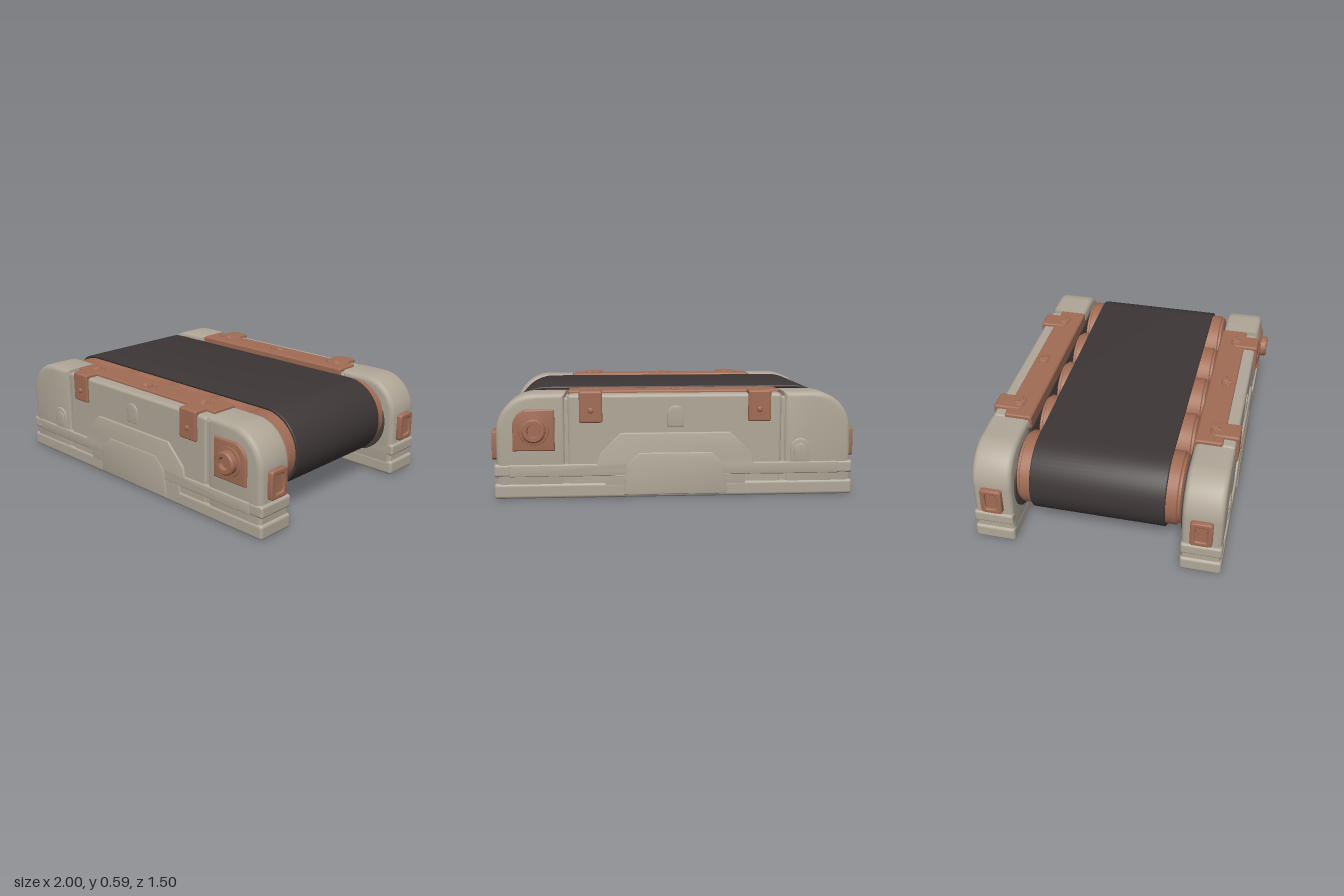
import * as THREE from 'three';
import { toCreasedNormals } from 'three/addons/utils/BufferGeometryUtils.js';
import { RoundedBoxGeometry } from 'three/addons/geometries/RoundedBoxGeometry.js';

const mat = (name, color, side = THREE.FrontSide) => {
  const m = new THREE.MeshStandardMaterial({ color, side });
  m.name = name;
  return m;
};

export function createModel() {
  const stone = mat('warm grey casing', 0xb0a798);
  const copper = mat('copper', 0xa16c55);
  const rubber = mat('belt rubber', 0x3d3636);
  const dark = mat('dark inner metal', 0x48403e);

  const model = new THREE.Group();
  model.name = 'conveyor';

  const add = (parent, name, geo, material, x = 0, y = 0, z = 0) => {
    const mesh = new THREE.Mesh(geo, material);
    mesh.name = name;
    mesh.position.set(x, y, z);
    parent.add(mesh);
    return mesh;
  };
  const box = (w, h, d, r = 0.01) => new RoundedBoxGeometry(w, h, d, 2, r);
  // Extrude a shape from z0 to z1 with a rounded edge that stays inside the outline
  const slab = (shape, z0, z1, b = 0.008) => {
    const geo = new THREE.ExtrudeGeometry(shape, {
      depth: z1 - z0 - 2 * b, bevelEnabled: true, bevelThickness: b, bevelSize: b,
      bevelOffset: -b, bevelSegments: 3, curveSegments: 14,
    });
    geo.translate(0, 0, z0 + b);
    return toCreasedNormals(geo, 0.6);
  };
  // Polygon symmetric in x, given by its right half from bottom to top
  const mirrored = (half) => new THREE.Shape([
    ...half.map(([x, y]) => new THREE.Vector2(x, y)),
    ...half.slice().reverse().map(([x, y]) => new THREE.Vector2(-x, y)),
  ]);
  const arch = (w, y0, y1) => {
    const s = new THREE.Shape();
    s.moveTo(-w, y0);
    s.lineTo(w, y0);
    s.lineTo(w, y1 - w);
    s.absarc(0, y1 - w, w, 0, Math.PI, false);
    return s;
  };
  const stadium = (target, half, cy, r) => {
    target.absarc(half, cy, r, -Math.PI / 2, Math.PI / 2, false);
    target.absarc(-half, cy, r, Math.PI / 2, Math.PI * 1.5, false);
    target.closePath();
    return target;
  };

  // Belt loop
  const loop = stadium(new THREE.Shape(), 0.718, 0.355, 0.225);
  loop.holes.push(stadium(new THREE.Path(), 0.718, 0.355, 0.207));
  add(model, 'belt', slab(loop, -0.375, 0.375, 0.007), rubber);

  // Rollers: two large at the ends, three smaller between
  const roller = (x, y, r) => {
    const profile = [[0, -0.458], [r - 0.03, -0.458], [r - 0.012, -0.45], [r - 0.012, -0.438],
      [r, -0.432], [r, 0.432], [r - 0.012, 0.438], [r - 0.012, 0.45], [r - 0.03, 0.458], [0, 0.458]]
      .map(([a, b]) => new THREE.Vector2(a, b));
    const geo = toCreasedNormals(new THREE.LatheGeometry(profile, 40), 0.5);
    add(model, 'roller', geo.rotateX(Math.PI / 2), copper, x, y);
    const axle = new THREE.CylinderGeometry(0.05, 0.05, 0.96, 16).rotateX(Math.PI / 2);
    add(model, 'axle', axle, dark, x, y);
  };
  for (const s of [-1, 1]) roller(s * 0.727, 0.358, 0.203);
  for (const x of [-0.35, 0.01, 0.36]) roller(x, 0.375, 0.168);

  // One side frame, built on +z
  const buildSide = () => {
    const g = new THREE.Group();

    // Casing: core, middle section and two rounded ends with seams between
    add(g, 'casingCore', box(1.5, 0.5, 0.2), stone, 0, 0.3, 0.582);
    add(g, 'middleCasing', box(1.172, 0.55, 0.22, 0.02), stone, 0, 0.293, 0.582);
    const end = new THREE.Shape();
    end.moveTo(0.597, 0.02);
    end.lineTo(0.972, 0.02);
    end.lineTo(0.972, 0.36);
    end.absellipse(0.762, 0.36, 0.21, 0.214, 0, Math.PI / 2, false);
    end.lineTo(0.597, 0.574);
    const endGeo = slab(end, 0.47, 0.694, 0.028);
    add(g, 'endCasing', endGeo, stone);
    add(g, 'endCasing', endGeo, stone).rotation.y = Math.PI;
    g.children[g.children.length - 1].position.z = 1.164;

    // Skirt: lower band, groove core and upper band, each wrapping the ends
    add(g, 'lowerSkirt', box(1.972, 0.085, 0.232, 0.018), stone, 0, 0.0425, 0.584);
    add(g, 'skirtCore', box(1.945, 0.1, 0.212, 0.015), stone, 0, 0.1, 0.582);
    add(g, 'upperSkirt', box(1.972, 0.07, 0.228, 0.015), stone, 0, 0.155, 0.584);

    // Stepped trapezoid relief on the outer face
    const hump = mirrored([[0.9, 0.122], [0.9, 0.188], [0.43, 0.188], [0.415, 0.245], [0.3, 0.358]]);
    hump.holes.push(new THREE.Path(mirrored([[0.39, 0.13], [0.37, 0.2], [0.262, 0.306]]).getPoints()));
    add(g, 'archBand', slab(hump, 0.6, 0.704, 0.006), stone);
    add(g, 'archInset', slab(mirrored([[0.385, 0.03], [0.385, 0.13], [0.365, 0.2], [0.26, 0.3]]),
      0.6, 0.699, 0.004), stone);
    add(g, 'archBlock', slab(mirrored([[0.283, 0.015], [0.27, 0.18], [0.2, 0.25]]), 0.6, 0.707, 0.008), stone);

    // Small arched details
    add(g, 'centreArch', slab(arch(0.046, 0.39, 0.505), 0.66, 0.698, 0.004), stone);
    add(g, 'endArch', slab(arch(0.056, 0.185, 0.318), 0.66, 0.7, 0.005), stone, -0.69);
    add(g, 'endArchInner', slab(arch(0.034, 0.19, 0.29), 0.66, 0.703, 0.003), stone, -0.69);

    // Dark lining on the inner face
    add(g, 'innerLining', slab(stadium(new THREE.Shape(), 0.72, 0.31, 0.2), 0.46, 0.48, 0.004), dark);

    // Copper top bracket with inner lip and two clips folded over the outer face
    add(g, 'topBracket', box(1.165, 0.03, 0.155, 0.01), copper, 0, 0.568, 0.545);
    add(g, 'bracketLip', box(1.165, 0.09, 0.018, 0.006), copper, 0, 0.533, 0.473);
    for (const x of [-0.46, 0.46]) {
      add(g, 'clipTop', box(0.125, 0.035, 0.15, 0.012), copper, x, 0.57, 0.631);
      add(g, 'clipFace', box(0.125, 0.17, 0.025, 0.01), copper, x, 0.5, 0.695);
      const stud = new THREE.SphereGeometry(0.016, 14, 8).scale(1, 1, 0.5);
      add(g, 'clipStud', stud, copper, x, 0.482, 0.708);
    }

    // Embossed rosettes on the bracket
    for (const x of [-0.46, 0, 0.46]) {
      const rosette = new THREE.Group();
      rosette.name = 'rosette';
      rosette.position.set(x, 0.583, 0.55);
      for (let i = 0; i < 5; i++) {
        const a = (i - 2) * 0.55;
        const petal = add(rosette, 'petal', new THREE.SphereGeometry(1, 10, 6).scale(0.01, 0.009, 0.028),
          copper, Math.sin(a) * 0.035, 0, Math.cos(a) * 0.03 - 0.012);
        petal.rotation.y = a;
      }
      add(rosette, 'rosetteHeart', new THREE.SphereGeometry(1, 10, 6).scale(0.017, 0.01, 0.017),
        copper, 0, 0, 0.035);
      g.add(rosette);
    }

    // Drive plate and hollow knob
    const plate = new THREE.Shape();
    plate.moveTo(0.655, 0.265);
    plate.lineTo(0.88, 0.265);
    plate.lineTo(0.88, 0.41);
    plate.quadraticCurveTo(0.87, 0.47, 0.81, 0.49);
    plate.lineTo(0.655, 0.49);
    add(g, 'drivePlate', slab(plate, 0.68, 0.708, 0.008), copper);
    const knob = [[0.085, 0], [0.08, 0.012], [0.064, 0.014], [0.064, 0.042], [0.056, 0.05],
      [0.036, 0.05], [0.033, 0.025], [0, 0.025]].map(([a, b]) => new THREE.Vector2(a, b));
    const knobGeo = toCreasedNormals(new THREE.LatheGeometry(knob, 28), 0.5).rotateX(Math.PI / 2);
    add(g, 'driveKnob', knobGeo, copper, 0.765, 0.378, 0.7);

    // Framed latch on each end
    const rounded = (T, w, h, r) => {
      const s = new T();
      s.absarc(w - r, h - r, r, 0, Math.PI / 2, false);
      s.absarc(r - w, h - r, r, Math.PI / 2, Math.PI, false);
      s.absarc(r - w, r - h, r, Math.PI, Math.PI * 1.5, false);
      s.absarc(w - r, r - h, r, Math.PI * 1.5, Math.PI * 2, false);
      s.closePath();
      return s;
    };
    const frame = rounded(THREE.Shape, 0.061, 0.08, 0.018);
    frame.holes.push(rounded(THREE.Path, 0.033, 0.052, 0.012));
    const frameGeo = slab(frame, 0.95, 1.0, 0.006);
    for (const s of [-1, 1]) {
      const latch = new THREE.Group();
      latch.name = 'endLatch';
      latch.position.set(0, 0.288, 0.582);
      latch.rotation.y = s * Math.PI / 2;
      add(latch, 'latchFrame', frameGeo, copper);
      add(latch, 'latchCentre', box(0.075, 0.11, 0.04, 0.004), copper, 0, 0, 0.966);
      g.add(latch);
    }
    return g;
  };

  const front = buildSide();
  front.name = 'frontSideFrame';
  const back = buildSide();
  back.name = 'backSideFrame';
  back.scale.z = -1;
  model.add(front, back);
  return model;
}
